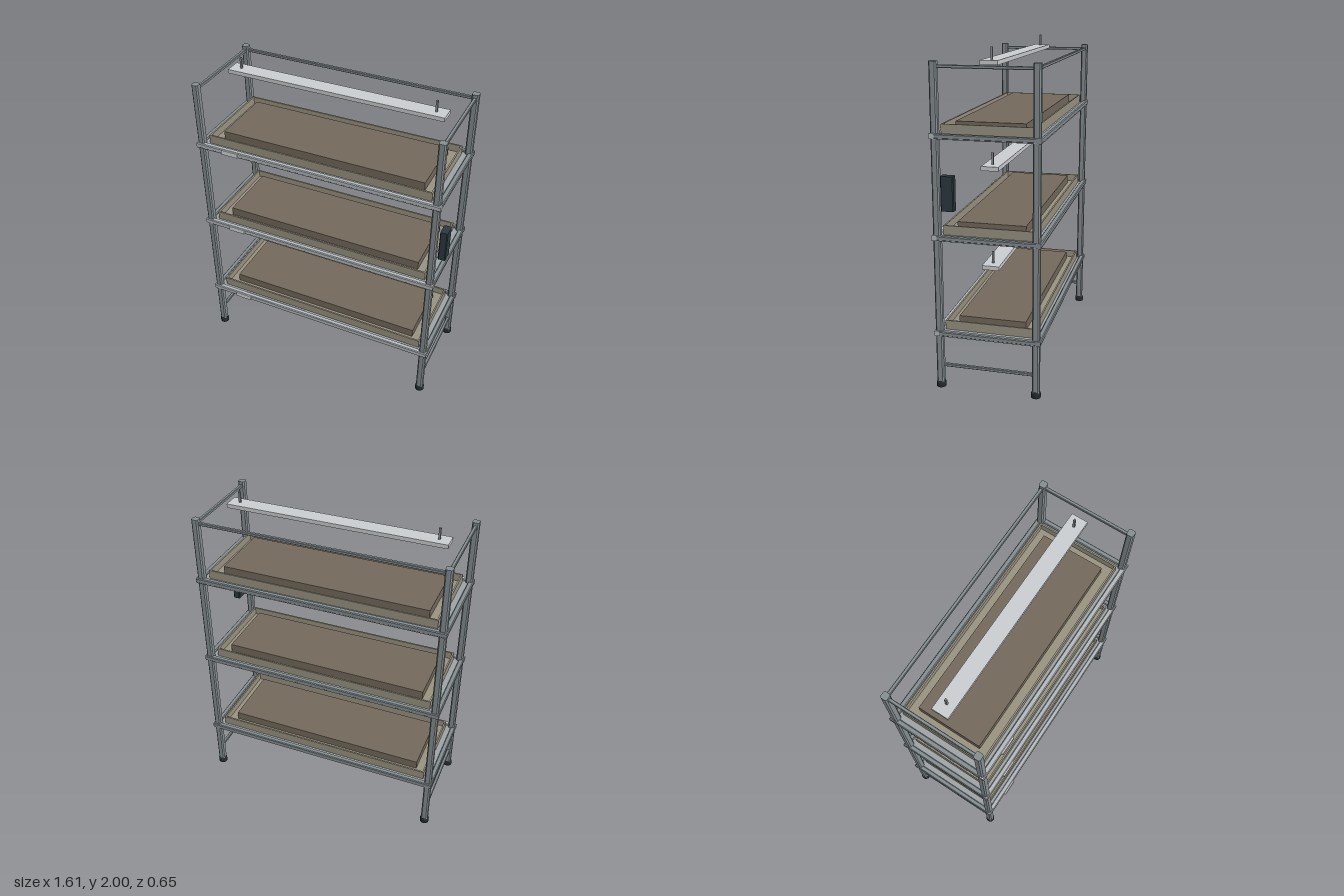
import * as THREE from 'three';

const mat = (name, color) => {
  const m = new THREE.MeshStandardMaterial({ color });
  m.name = name;
  return m;
};

export function createModel() {
  const steel = mat('steel', 0x868f92);
  const aluminium = mat('aluminium', 0xb6bcbf);
  const deckGrey = mat('deck grey', 0xa0a5a8);
  const trayTan = mat('tray tan', 0x9a9482);
  const soilBrown = mat('soil brown', 0x746a5d);
  const lampGrey = mat('lamp grey', 0xcdd0d2);
  const labelWhite = mat('label white', 0xdadcdd);
  const rubber = mat('rubber', 0x23292c);
  const caseDark = mat('case dark', 0x2c393f);

  const root = new THREE.Group();
  root.name = 'shelfRack';
  const rack = new THREE.Group();
  rack.name = 'rack';
  rack.position.set(-0.02, 0, -0.004);
  root.add(rack);

  const add = (parent, name, geo, m, x, y, z) => {
    const mesh = new THREE.Mesh(geo, m);
    mesh.name = name;
    mesh.position.set(x, y, z);
    parent.add(mesh);
    return mesh;
  };
  const box = (parent, name, m, w, h, d, x, y, z) =>
    add(parent, name, new THREE.BoxGeometry(w, h, d), m, x, y, z);

  // Bar with chamfered long edges, running along +z, centred
  const bar = (w, h, length, c) => {
    const s = new THREE.Shape();
    const a = w / 2, b = h / 2;
    [[-a + c, -b], [a - c, -b], [a, -b + c], [a, b - c],
      [a - c, b], [-a + c, b], [-a, b - c], [-a, -b + c]]
      .forEach(([x, y], i) => (i ? s.lineTo(x, y) : s.moveTo(x, y)));
    s.closePath();
    return new THREE.ExtrudeGeometry(s, { depth: length, bevelEnabled: false })
      .translate(0, 0, -length / 2);
  };

  const PX = 0.759, PZ = 0.29; // post centres

  // Corner posts with rubber feet
  for (const sx of [-1, 1]) {
    for (const sz of [-1, 1]) {
      const post = bar(0.043, 0.043, 1.9, 0.008).rotateX(Math.PI / 2);
      add(rack, 'post', post, steel, sx * PX, 0.98, sz * PZ);
      add(rack, 'foot', new THREE.CylinderGeometry(0.029, 0.029, 0.026, 16), rubber, sx * PX, 0.013, sz * PZ);
      add(rack, 'footCollar', new THREE.CylinderGeometry(0.023, 0.029, 0.012, 16), rubber, sx * PX, 0.032, sz * PZ);
    }
    // End braces between the posts, low and at the top
    for (const y of [0.141, 1.901]) {
      add(rack, 'endBrace', bar(0.02, 0.018, 2 * PZ, 0.003), steel, sx * PX, y, 0);
    }
  }
  add(rack, 'topBackBrace', bar(0.02, 0.018, 2 * PX, 0.003).rotateY(Math.PI / 2), steel, 0, 1.901, -PZ);

  // One shelf: deck, edge rails, open tray, soil block and label
  const makeShelf = (y) => {
    const g = new THREE.Group();
    g.name = 'shelf';
    g.position.y = y;
    rack.add(g);
    box(g, 'deck', deckGrey, 1.57, 0.02, 0.636, 0, 0.01, 0);
    for (const s of [-1, 1]) {
      const m = s > 0 ? aluminium : steel;
      add(g, 'longRail', bar(0.032, 0.031, 1.575, 0.005).rotateY(Math.PI / 2), m, 0, 0.0175, s * 0.304);
      add(g, 'endRail', bar(0.032, 0.028, 0.58, 0.005), steel, s * 0.771, 0.0165, 0);
    }

    const W = 1.44, D = 0.538, T = 0.01, H = 0.056;
    box(g, 'trayFloor', trayTan, W, 0.01, D, 0, 0.025, 0);
    for (const s of [-1, 1]) {
      box(g, 'trayLongWall', trayTan, W, H, T, 0, 0.02 + H / 2, s * (D - T) / 2);
      box(g, 'trayEndWall', trayTan, T, H, D - 2 * T, s * (W - T) / 2, 0.02 + H / 2, 0);
    }
    box(g, 'soil', soilBrown, 1.305, 0.055, 0.408, 0, 0.0565, 0);
    box(g, 'label', labelWhite, 0.111, 0.03, 0.009, -0.551, 0.0175, 0.3245);
  };

  // Lamp bar with two hanger rods
  const makeLamp = (y) => {
    const g = new THREE.Group();
    g.name = 'lamp';
    g.position.y = y;
    rack.add(g);
    box(g, 'lampBar', lampGrey, 1.37, 0.025, 0.102, 0, 0.0125, 0);
    for (const s of [-1, 1]) {
      box(g, 'hanger', steel, 0.012, 0.07, 0.012, s * 0.62, 0.059, 0);
    }
  };

  for (let i = 0; i < 3; i++) {
    makeShelf(0.331 + i * 0.587);
    makeLamp(0.732 + i * 0.587);
  }

  // Control box on the left front post
  add(rack, 'controlBox', bar(0.046, 0.076, 0.2, 0.005).rotateX(Math.PI / 2), caseDark, 0.801, 1.208, 0.207);

  return root;
}
